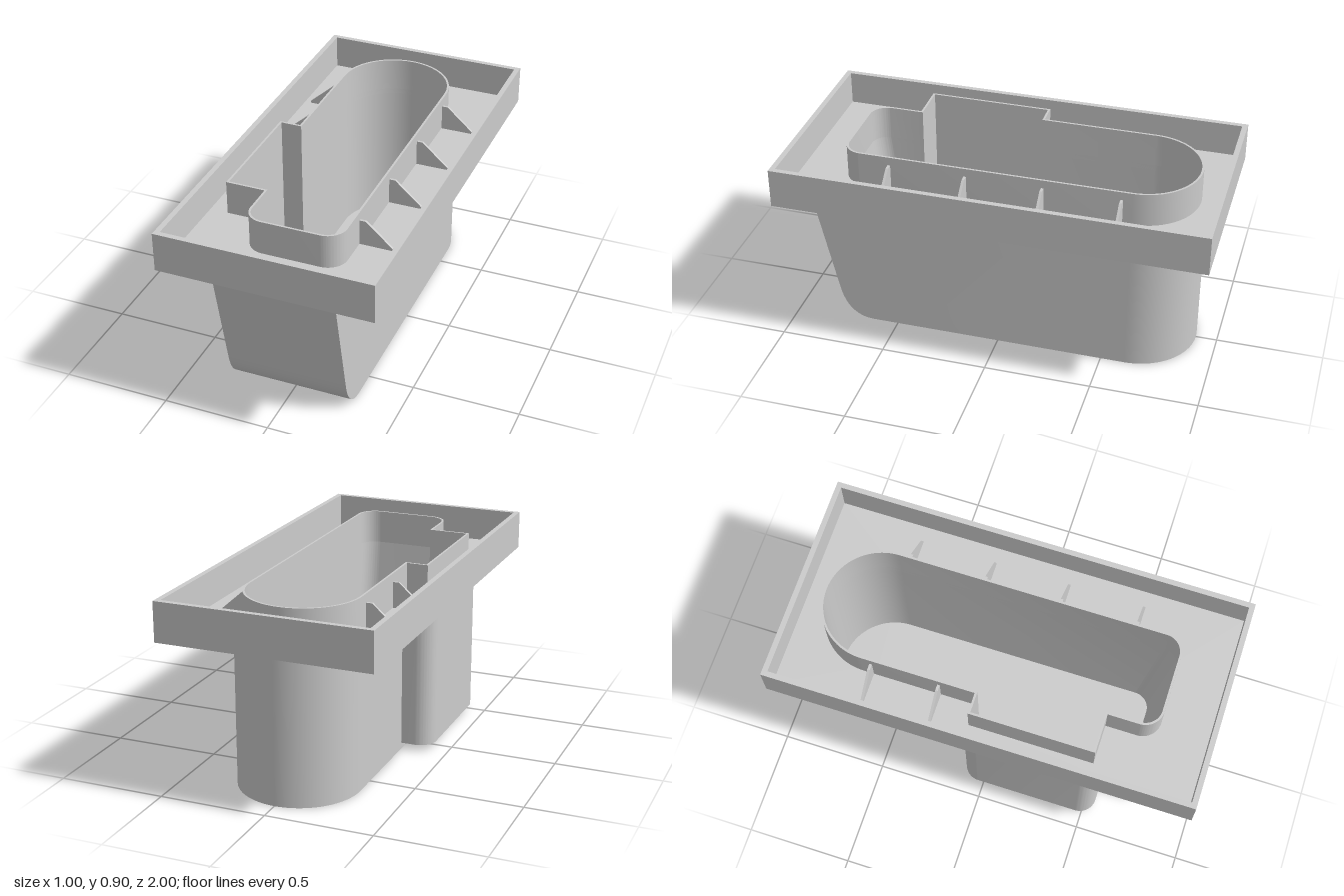
import * as THREE from 'three';
import { toCreasedNormals } from 'three/addons/utils/BufferGeometryUtils.js';

const material = new THREE.MeshStandardMaterial({ color: 0xcccccc });
const FLOOR = 0.74, TOP = 0.9, UNDER = 0.715;

// Plan outlines are drawn as (x, -z), counter-clockwise.
// Opening of the tub, widened by o.
function openingOutline(o) {
  const s = new THREE.Shape();
  s.absarc(0.155, -0.66, 0.08 + o, -Math.PI / 2, 0);
  s.absarc(-0.0225, 0.605, 0.2575 + o, 0, Math.PI);
  s.lineTo(-0.28 - o, 0.06 + o);
  s.lineTo(-0.38 - o, 0.06 + o);
  s.lineTo(-0.38 - o, -0.505 - o);
  s.lineTo(-0.195 - o, -0.505 - o);
  s.absarc(-0.115, -0.66, 0.08 + o, Math.PI, Math.PI * 1.5);
  return s;
}

function rectangle(hx, hz) {
  return new THREE.Shape([[-hx, -hz], [hx, -hz], [hx, hz], [-hx, hz]].map(p => new THREE.Vector2(...p)));
}

// Vertical extrusion of a plan shape between two heights
function slab(shape, hole, y0, y1) {
  if (hole) shape.holes.push(hole);
  const geo = new THREE.ExtrudeGeometry(shape, { depth: y1 - y0, bevelEnabled: false, curveSegments: 20 });
  geo.rotateX(-Math.PI / 2).translate(0, y0, 0);
  return toCreasedNormals(geo, 0.5);
}

// Walls through stacked outlines (bottom to top) with a bottom cap.
// inward turns the faces to the inside; skip leaves wall panels out.
function loft(levels, { inward = false, skip = () => false } = {}) {
  const pos = [];
  const tri = (a, b, c) => (inward ? [a, c, b] : [a, b, c])
    .forEach(([p, y]) => pos.push(p.x, y, -p.y));
  for (let k = 0; k < levels.length - 1; k++) {
    const lo = levels[k], hi = levels[k + 1], n = lo.pts.length;
    for (let i = 0; i < n; i++) {
      if (skip(i, lo.y)) continue;
      const j = (i + 1) % n;
      const a = [lo.pts[i], lo.y], b = [lo.pts[j], lo.y];
      const c = [hi.pts[j], hi.y], d = [hi.pts[i], hi.y];
      tri(a, b, c);
      tri(a, c, d);
    }
  }
  const { pts, y } = levels[0];
  for (const [a, b, c] of THREE.ShapeUtils.triangulateShape(pts, [])) {
    tri([pts[a], y], [pts[c], y], [pts[b], y]);
  }
  const geo = new THREE.BufferGeometry();
  geo.setAttribute('position', new THREE.Float32BufferAttribute(pos, 3));
  return toCreasedNormals(geo, 0.5);
}

export function createModel() {
  const model = new THREE.Group();
  const add = (name, geo) => {
    const mesh = new THREE.Mesh(geo, material);
    mesh.name = name;
    model.add(mesh);
    return mesh;
  };

  // Tray: raised border, floor with opening, and lip around the opening
  add('trayBorder', slab(rectangle(0.5, 1), rectangle(0.475, 0.975), UNDER, TOP));
  add('trayFloor', slab(rectangle(0.475, 0.975), openingOutline(0), UNDER, FLOOR));
  add('openingLip', slab(openingOutline(0.01), openingOutline(0), FLOOR, TOP));

  // Tub outside: round back, leaning front with a curved lower edge
  const bumpBack = -0.106, bumpFront = 0.55, half = 0.285;
  const tubPoints = front => {
    const s = new THREE.Shape();
    s.moveTo(-half, -front);
    s.lineTo(half, -front);
    s.absarc(0, 0.615, half, 0, Math.PI);
    s.lineTo(-half, -bumpBack);
    s.lineTo(-half, -bumpFront);
    return s.getPoints(20);
  };
  const frontProfile = new THREE.QuadraticBezierCurve(
    new THREE.Vector2(0.62, 0), new THREE.Vector2(0.75, 0), new THREE.Vector2(0.785, 0.16)).getPoints(12);
  frontProfile.push(new THREE.Vector2(0.91, UNDER));
  const tubLevels = frontProfile.map(p => ({ y: p.y, pts: tubPoints(p.x) }));
  const bumpPanel = tubLevels[0].pts.length - 2;
  add('tubOuter', loft(tubLevels, { skip: (i, y) => i === bumpPanel && y > 0.03 }));

  // Side bulge with rounded corners, open towards the tub
  const bulge = new THREE.Shape();
  bulge.moveTo(-half, -bumpFront);
  bulge.lineTo(-half, -bumpBack);
  bulge.absarc(-0.35, -bumpBack - 0.08, 0.08, Math.PI / 2, Math.PI);
  bulge.absarc(-0.35, -bumpFront + 0.08, 0.08, Math.PI, Math.PI * 1.5);
  const bulgePoints = bulge.getPoints(10);
  add('sideBulge', loft([{ y: 0.03, pts: bulgePoints }, { y: UNDER, pts: bulgePoints }],
    { skip: i => i === 0 }));

  // Tub inside: the front wall leans in towards the floor
  const top = openingOutline(0).getPoints(20);
  const bottom = top.map(p => new THREE.Vector2(p.x, p.y < -0.55 ? p.y + 0.08 : p.y));
  add('tubInner', loft([{ y: 0.05, pts: bottom }, { y: FLOOR, pts: top }], { inward: true }));

  // Sloped ribs bracing the lip
  const ribShape = new THREE.Shape([[0, 0], [0.155, 0], [0.155, 0.01], [0.03, 0.12], [0, 0.12]]
    .map(p => new THREE.Vector2(...p)));
  const ribGeo = new THREE.ExtrudeGeometry(ribShape, { depth: 0.012, bevelEnabled: false });
  ribGeo.translate(0, 0, -0.006);
  for (const z of [-0.56, -0.2, 0.16, 0.52]) add('leftRib', ribGeo).position.set(0.243, FLOOR, z);
  for (const z of [-0.56, -0.24]) {
    const rib = add('rightRib', ribGeo);
    rib.position.set(-0.288, FLOOR, z);
    rib.rotation.y = Math.PI;
  }
  return model;
}
